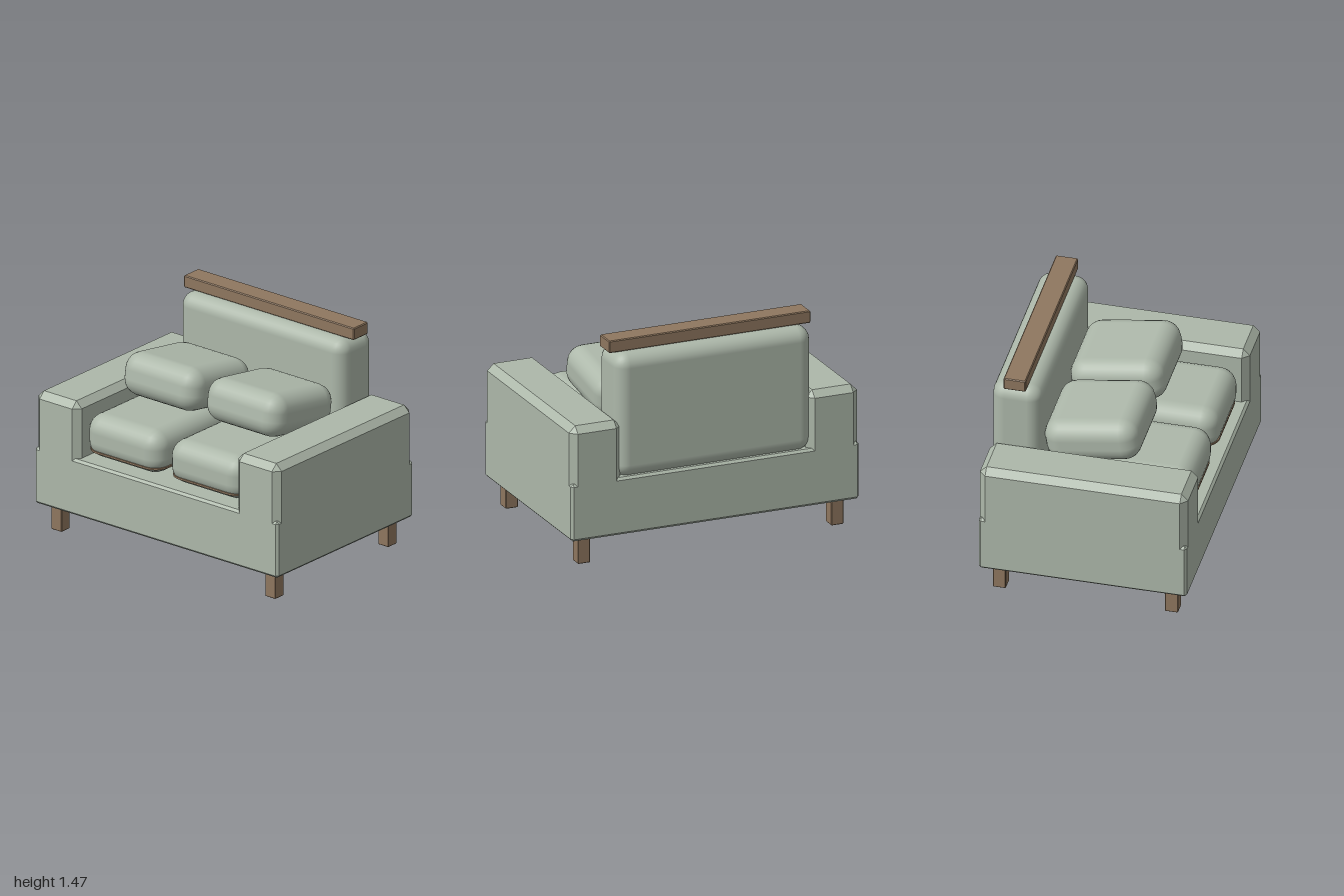
import * as THREE from 'three';
import { RoundedBoxGeometry } from 'three/addons/geometries/RoundedBoxGeometry.js';
import { ConvexGeometry } from 'three/addons/geometries/ConvexGeometry.js';

// Box with every edge cut by a flat chamfer
function chamferBox(w, h, d, c) {
  const half = [w / 2, h / 2, d / 2], points = [];
  for (const sx of [-1, 1]) for (const sy of [-1, 1]) for (const sz of [-1, 1]) {
    for (let axis = 0; axis < 3; axis++) {
      const p = half.map((v, i) => (i === axis ? v : v - c));
      points.push(new THREE.Vector3(p[0] * sx, p[1] * sy, p[2] * sz));
    }
  }
  return new ConvexGeometry(points);
}

// Thin horizontal slab with rounded corners
function roundedSlab(w, h, d, r) {
  const s = new THREE.Shape(), x = w / 2 - r, z = d / 2 - r;
  s.absarc(x, z, r, 0, Math.PI / 2);
  s.absarc(-x, z, r, Math.PI / 2, Math.PI);
  s.absarc(-x, -z, r, Math.PI, Math.PI * 1.5);
  s.absarc(x, -z, r, Math.PI * 1.5, Math.PI * 2);
  s.closePath();
  const g = new THREE.ExtrudeGeometry(s, { depth: h, bevelEnabled: false, curveSegments: 5 });
  return g.rotateX(-Math.PI / 2).translate(0, -h / 2, 0);
}

export function createModel() {
  const fabric = new THREE.MeshStandardMaterial({ color: 0xadb8aa });
  fabric.name = 'sageFabric';
  const wood = new THREE.MeshStandardMaterial({ color: 0x8f775f });
  wood.name = 'brownWood';

  const sofa = new THREE.Group();
  sofa.name = 'sofa';
  const add = (name, geometry, material, x, y, z) => {
    const mesh = new THREE.Mesh(geometry, material);
    mesh.name = name;
    mesh.position.set(x, y, z);
    sofa.add(mesh);
    return mesh;
  };

  // Base and backrest with its top rail
  add('base', chamferBox(2, 0.385, 1.36, 0.016), fabric, 0, 0.3745, 0);
  add('backrest', new RoundedBoxGeometry(1.36, 0.835, 0.325, 3, 0.09), fabric, 0, 0.9675, -0.5175);
  add('topRail', chamferBox(1.4, 0.082, 0.145, 0.006), wood, 0, 1.425, -0.5175);

  for (const [side, s] of [['left', 1], ['right', -1]]) {
    // Armrest
    add(side + 'Arm', chamferBox(0.355, 0.67, 1.36, 0.044), fabric, s * 0.8225, 0.615, 0);

    // Seat cushion with a thin trim, and the tilted cushion on top
    add(side + 'SeatCushion', new RoundedBoxGeometry(0.625, 0.295, 0.985, 3, 0.115), fabric, s * 0.34, 0.7195, 0.1325);
    add(side + 'SeatTrim', roundedSlab(0.612, 0.012, 0.97, 0.11), wood, s * 0.34, 0.626, 0.1325);
    const pillow = add(side + 'LooseCushion', new RoundedBoxGeometry(0.625, 0.29, 0.625, 3, 0.115), fabric, s * 0.34, 0.995, -0.04);
    pillow.rotation.x = -0.157;

    // Legs
    for (const [end, e] of [['Front', 1], ['Back', -1]]) {
      add(side + end + 'Leg', chamferBox(0.085, 0.184, 0.085, 0.004), wood, s * 0.88, 0.092, e * 0.5625);
    }
  }
  return sofa;
}
